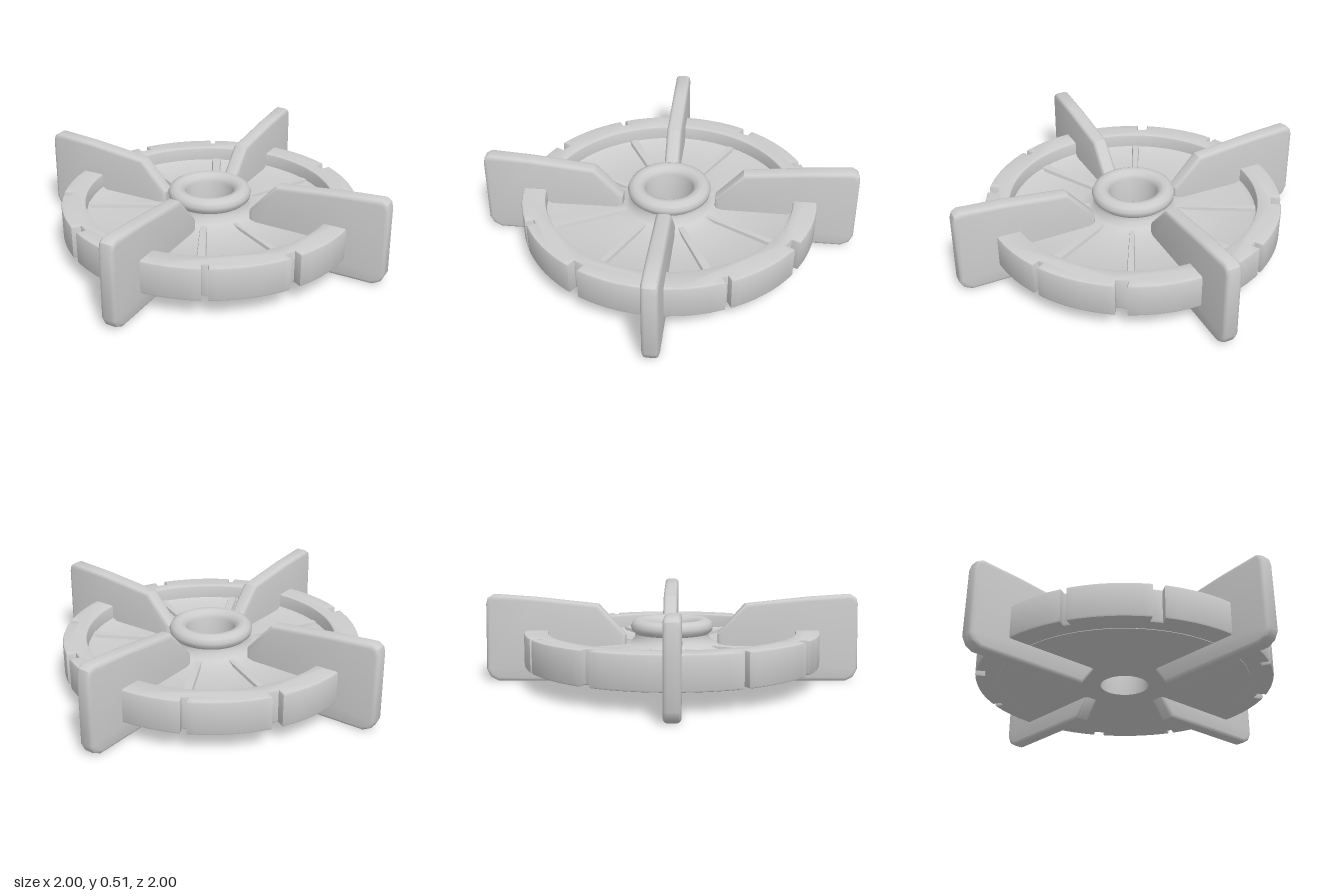
import * as THREE from 'three';
import { toCreasedNormals } from 'three/addons/utils/BufferGeometryUtils.js';

const grey = new THREE.MeshStandardMaterial({ color: 0xcccccc });
grey.name = 'stone grey';
const deg = Math.PI / 180;

function part(name, geometry, crease = 0.7) {
  const mesh = new THREE.Mesh(toCreasedNormals(geometry, crease), grey);
  mesh.name = name;
  return mesh;
}

// Extrudes a shape with rounded edges that stay within its outline.
function roundedPlate(shape, depth, bevel, segments) {
  const geo = new THREE.ExtrudeGeometry(shape, {
    depth: depth - 2 * bevel, curveSegments: 48,
    bevelThickness: bevel, bevelSize: bevel, bevelOffset: -bevel, bevelSegments: segments,
  });
  return geo.translate(0, 0, bevel);
}

// Outer ring, cut by narrow and wide notches in turn.
function notchedRim() {
  const R = 0.865;
  const notches = [];
  for (let k = 0; k < 4; k++) {
    notches.push({ a: k * 90 * deg, w: 0.016, d: 0.05 });
    notches.push({ a: (k * 90 + 32.7) * deg, w: 0.031, d: 0.055 });
  }
  const pts = [];
  const add = (a, along, across) => pts.push(new THREE.Vector2(
    Math.cos(a) * along - Math.sin(a) * across, Math.sin(a) * along + Math.cos(a) * across));
  notches.forEach((n, i) => {
    add(n.a, R, -n.w);
    add(n.a, R - n.d, -n.w);
    add(n.a, R - n.d, n.w);
    add(n.a, R, n.w);
    const next = notches[(i + 1) % notches.length];
    const start = n.a + n.w / R;
    const end = next.a + (i === notches.length - 1 ? Math.PI * 2 : 0) - next.w / R;
    for (let s = 1; s < 10; s++) add(start + (end - start) * s / 10, R, 0);
  });
  const shape = new THREE.Shape(pts);
  const hole = new THREE.Path();
  hole.absarc(0, 0, 0.725, 0, Math.PI * 2, true);
  shape.holes.push(hole);
  return roundedPlate(shape, 0.195, 0.012, 2).rotateX(-Math.PI / 2).translate(0, 0.11, 0);
}

// Web of the wheel and its bulged hub as one turned profile.
function hubAndWeb() {
  const profile = [
    [0.14, 0.11], [0.73, 0.11], [0.73, 0.225], [0.70, 0.208], [0.32, 0.212], [0.25, 0.23],
    [0.22, 0.26], [0.217, 0.285], [0.238, 0.305], [0.243, 0.33], [0.232, 0.355],
    [0.205, 0.37], [0.175, 0.368], [0.15, 0.352], [0.14, 0.325], [0.14, 0.11],
  ].map(([r, y]) => new THREE.Vector2(r, y));
  return new THREE.LatheGeometry(profile, 64);
}

// Low spoke, slightly wider at the rim and narrower on top.
function rib(width) {
  const geo = new THREE.BoxGeometry(0.52, 0.04, width);
  const p = geo.attributes.position;
  for (let i = 0; i < p.count; i++) {
    const wide = p.getX(i) > 0 ? 1.15 : 0.75;
    p.setZ(i, p.getZ(i) * wide * (p.getY(i) > 0 ? 0.65 : 1));
  }
  return geo.translate(0.48, 0.208, 0);
}

// Upright paddle, with cut corners at both ends.
function paddle() {
  const outline = [
    [0.27, 0.12], [0.36, 0], [1.03, 0], [1.075, 0.025], [1.097, 0.07],
    [1.09, 0.46], [1.08, 0.495], [1.05, 0.514], [0.80, 0.497], [0.43, 0.457], [0.27, 0.28],
  ].map(([x, y]) => new THREE.Vector2(x, y));
  return roundedPlate(new THREE.Shape(outline), 0.09, 0.022, 3).translate(0, 0, -0.045);
}

export function createModel() {
  const model = new THREE.Group();
  model.name = 'paddle wheel';
  model.add(part('notched rim', notchedRim()), part('hub and web', hubAndWeb()));

  // Everything else repeats every quarter turn.
  for (let k = 0; k < 4; k++) {
    const quarter = new THREE.Group();
    quarter.name = 'quarter ' + (k + 1);
    quarter.rotation.y = k * Math.PI / 2;

    const blade = part('paddle', paddle());
    blade.rotation.y = -27 * deg;
    blade.position.set(0.008, 0, -0.015);

    const straightRib = part('straight rib', rib(0.065));
    straightRib.position.z = 0.028;

    const slantedRib = part('slanted rib', rib(0.05));
    slantedRib.rotation.y = 35.5 * deg;

    quarter.add(blade, straightRib, slantedRib);
    model.add(quarter);
  }
  return model;
}
